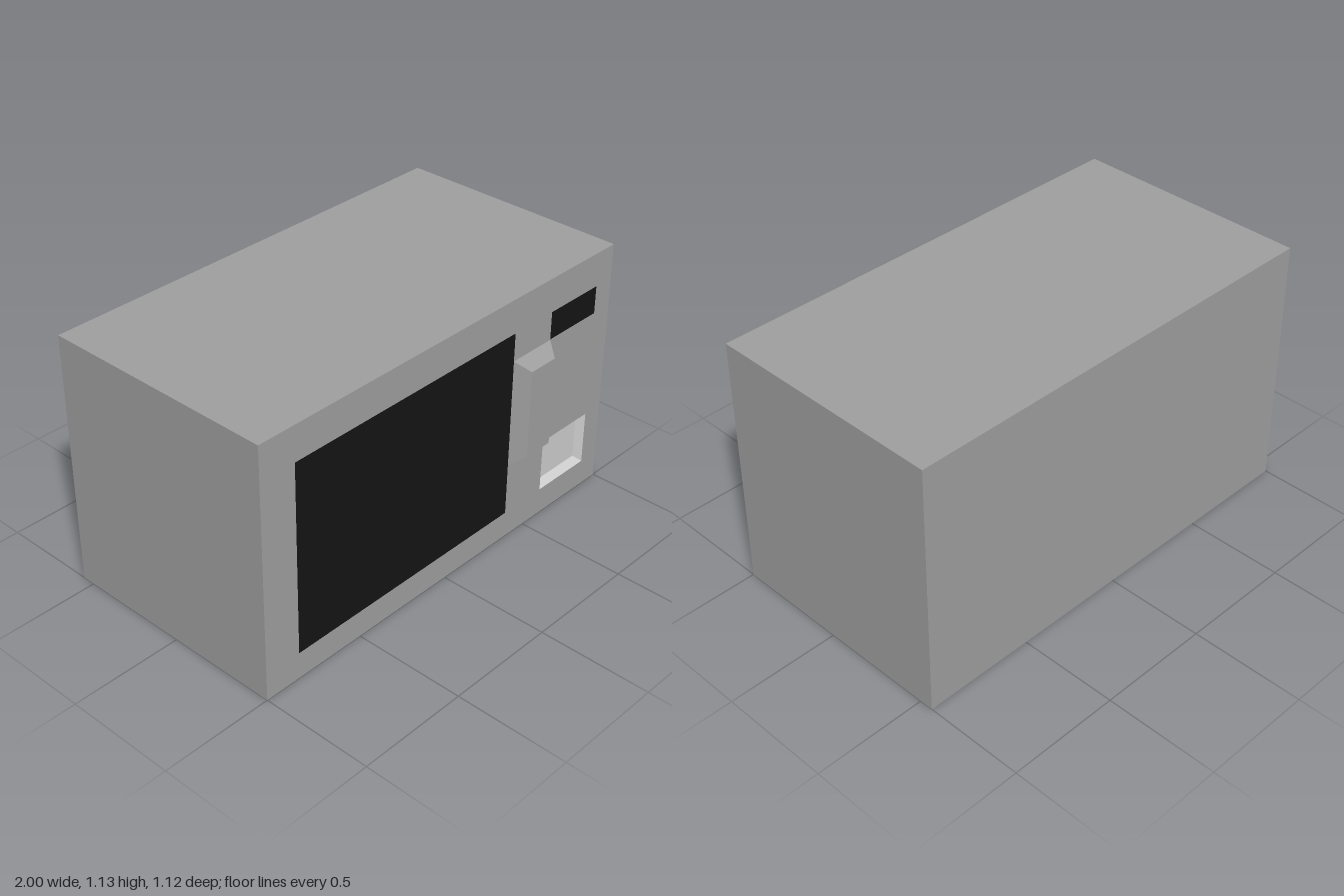
import * as THREE from 'three';

const FRONT = 0.5, BACK = -0.56, HEIGHT = 1.135;

// Rectangles on the front face: [x0, x1, y0, y1]
const WINDOW = [-0.83, 0.38, 0.12, 0.98];
const DISPLAY = [0.61, 0.902, 0.855, 0.98];
const HANDLE = [0.38, 0.61, 0.363, 0.853];
const BUTTON = [0.61, 0.902, 0.12, 0.363];

const material = (color) => new THREE.MeshStandardMaterial({ color, flatShading: true });

function part(name, geometry, mat) {
  const mesh = new THREE.Mesh(geometry, mat);
  mesh.name = name;
  return mesh;
}

// Flat rectangle facing +z, flush with the front
function panel([x0, x1, y0, y1]) {
  return new THREE.PlaneGeometry(x1 - x0, y1 - y0)
    .translate((x0 + x1) / 2, (y0 + y1) / 2, FRONT);
}

const corners = ([x0, x1, y0, y1], z) => [[x0, y0, z], [x1, y0, z], [x1, y1, z], [x0, y1, z]];

// Four sloped sides and a cap; positive depth is raised, negative is sunken
function bevelledPanel([x0, x1, y0, y1], inset, depth) {
  const outer = corners([x0, x1, y0, y1], FRONT);
  const inner = corners([x0 + inset, x1 - inset, y0 + inset, y1 - inset], FRONT + depth);
  const points = [];
  const quad = (a, b, c, d) => points.push(...a, ...b, ...c, ...a, ...c, ...d);
  for (let i = 0; i < 4; i++) {
    const j = (i + 1) % 4;
    quad(outer[i], outer[j], inner[j], inner[i]);
  }
  quad(...inner);
  const geometry = new THREE.BufferGeometry();
  geometry.setAttribute('position', new THREE.Float32BufferAttribute(points, 3));
  geometry.computeVertexNormals();
  return geometry;
}

// Box without its front side
function caseGeometry() {
  const box = new THREE.BoxGeometry(2, HEIGHT, FRONT - BACK);
  box.translate(0, HEIGHT / 2, (FRONT + BACK) / 2);
  const index = Array.from(box.index.array);
  index.splice(24, 6);
  box.setIndex(index);
  box.clearGroups();
  return box;
}

// Front plate with openings for the window, display and button
function fasciaGeometry() {
  const toPoints = (rect) => corners(rect, 0).map(([x, y]) => new THREE.Vector2(x, y));
  const shape = new THREE.Shape(toPoints([-1, 1, 0, HEIGHT]));
  for (const rect of [WINDOW, DISPLAY, BUTTON]) {
    shape.holes.push(new THREE.Path(toPoints(rect).reverse()));
  }
  return new THREE.ShapeGeometry(shape).translate(0, 0, FRONT);
}

export function createModel() {
  const model = new THREE.Group();
  model.name = 'microwaveOven';
  const bodyGrey = material(0x9e9e9e);
  const lightGrey = material(0xcccccc);
  const black = material(0x141414);

  model.add(
    part('case', caseGeometry(), bodyGrey),
    part('frontPlate', fasciaGeometry(), bodyGrey),
    part('doorWindow', panel(WINDOW), black),
    part('display', panel(DISPLAY), black),
    part('doorHandle', bevelledPanel(HANDLE, 0.043, 0.06), bodyGrey),
    part('doorButton', bevelledPanel(BUTTON, 0.027, -0.03), lightGrey),
  );
  return model;
}
